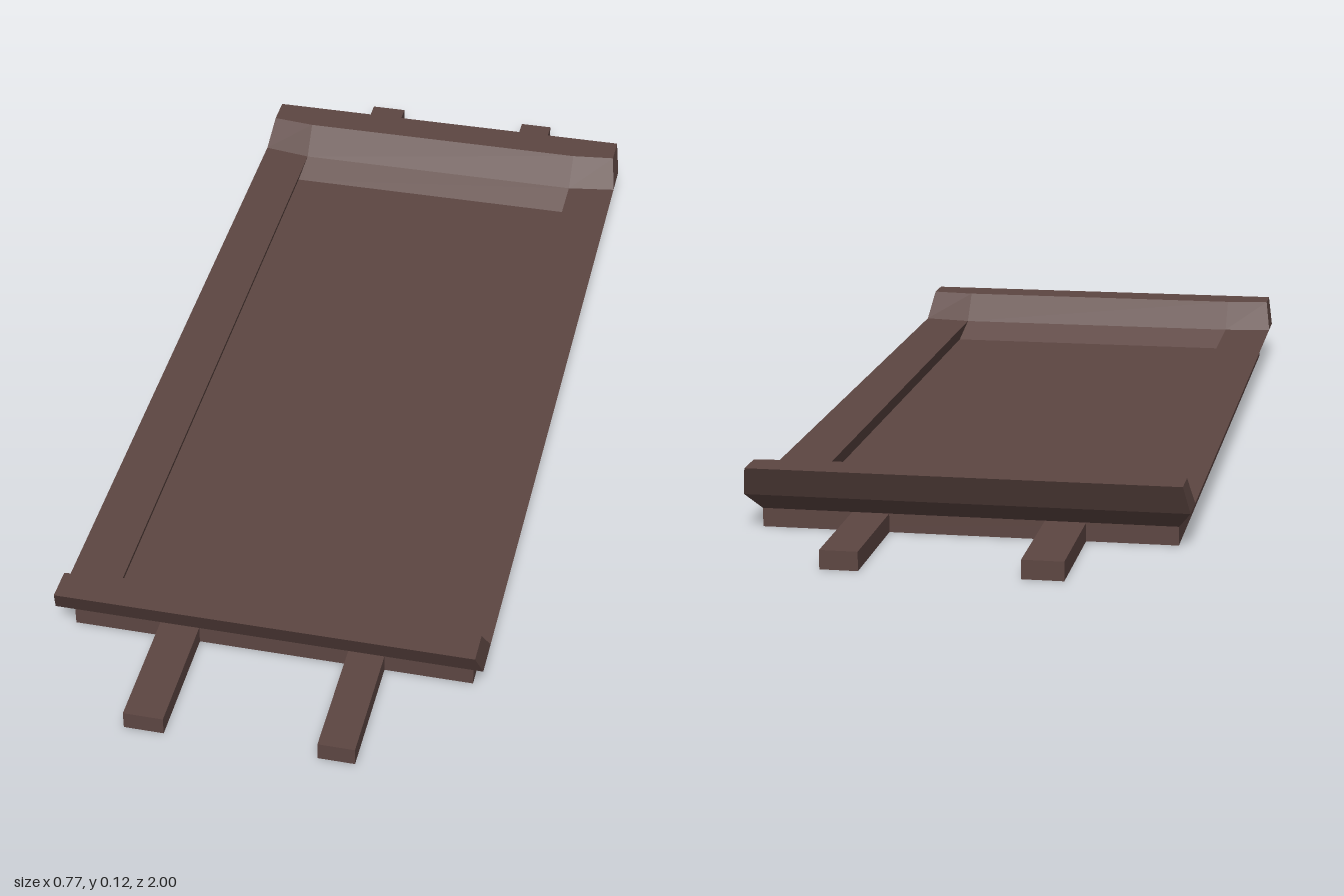
import * as THREE from 'three';

const FLOOR = 0.033, RIM = 0.066, TOP = 0.12;

// Flared end board: one cross-section [x, y, z] per station, joined across the width
function endBoardGeometry() {
  const section = (s, end) => end
    ? [[0.362, FLOOR, 0.765], [0.385, RIM, 0.8], [0.375, TOP, 0.83],
       [0.375, TOP, 0.77], [0.385, RIM, 0.73], [0.362, FLOOR, 0.67]].map(([x, y, z]) => [s * x, y, z])
    : [[FLOOR, 0.765], [RIM, 0.8], [TOP, 0.83],
       [TOP, 0.76], [RIM, 0.715], [FLOOR, 0.67]].map(([y, z]) => [s * 0.29, y, z]);
  const loops = [section(-1, true), section(-1, false), section(1, false), section(1, true)];
  const n = 6, index = [];
  for (let s = 0; s < loops.length - 1; s++) {
    for (let i = 0; i < n; i++) {
      const a = s * n + i, b = s * n + (i + 1) % n, c = b + n, d = a + n;
      index.push(a, d, c, a, c, b);
    }
  }
  // End caps
  const last = (loops.length - 1) * n;
  for (let i = 2; i < 6; i++) {
    const j = (i + 1) % n;
    index.push(1, i, j, last + 1, last + j, last + i);
  }
  const g = new THREE.BufferGeometry();
  g.setAttribute('position', new THREE.Float32BufferAttribute(loops.flat(2), 3));
  g.setIndex(index);
  const flat = g.toNonIndexed();
  flat.computeVertexNormals();
  return flat;
}

// Side rim: flared outside, slightly undercut inside
function sideRimGeometry() {
  const shape = new THREE.Shape([
    [0.3, FLOOR], [0.362, FLOOR], [0.385, RIM], [0.29, RIM],
  ].map(([x, y]) => new THREE.Vector2(x, y)));
  return new THREE.ExtrudeGeometry(shape, { depth: 1.46, bevelEnabled: false }).translate(0, 0, -0.73);
}

export function createModel() {
  const group = new THREE.Group();
  const wood = new THREE.MeshStandardMaterial({ color: 0x5d4642, flatShading: true });
  const add = (name, geometry, turn = 0) => {
    const mesh = new THREE.Mesh(geometry, wood);
    mesh.name = name;
    mesh.rotation.y = turn;
    group.add(mesh);
  };

  // Base slab, whose top is the tray floor
  add('base', new THREE.BoxGeometry(0.724, FLOOR, 1.53).translate(0, FLOOR / 2, 0));

  // Rims and end boards, each turned to the opposite side
  const rim = sideRimGeometry(), board = endBoardGeometry();
  add('leftRim', rim);
  add('rightRim', rim, Math.PI);
  add('frontBoard', board);
  add('backBoard', board, Math.PI);

  // Carrying handles at both ends
  for (const [end, s] of [['front', 1], ['back', -1]]) {
    for (const [side, x, w] of [['Left', 0.171, 0.065], ['Right', -0.168, 0.071]]) {
      add(end + side + 'Handle',
        new THREE.BoxGeometry(w, FLOOR, 0.235).translate(x, FLOOR / 2, s * 0.8825));
    }
  }
  return group;
}
